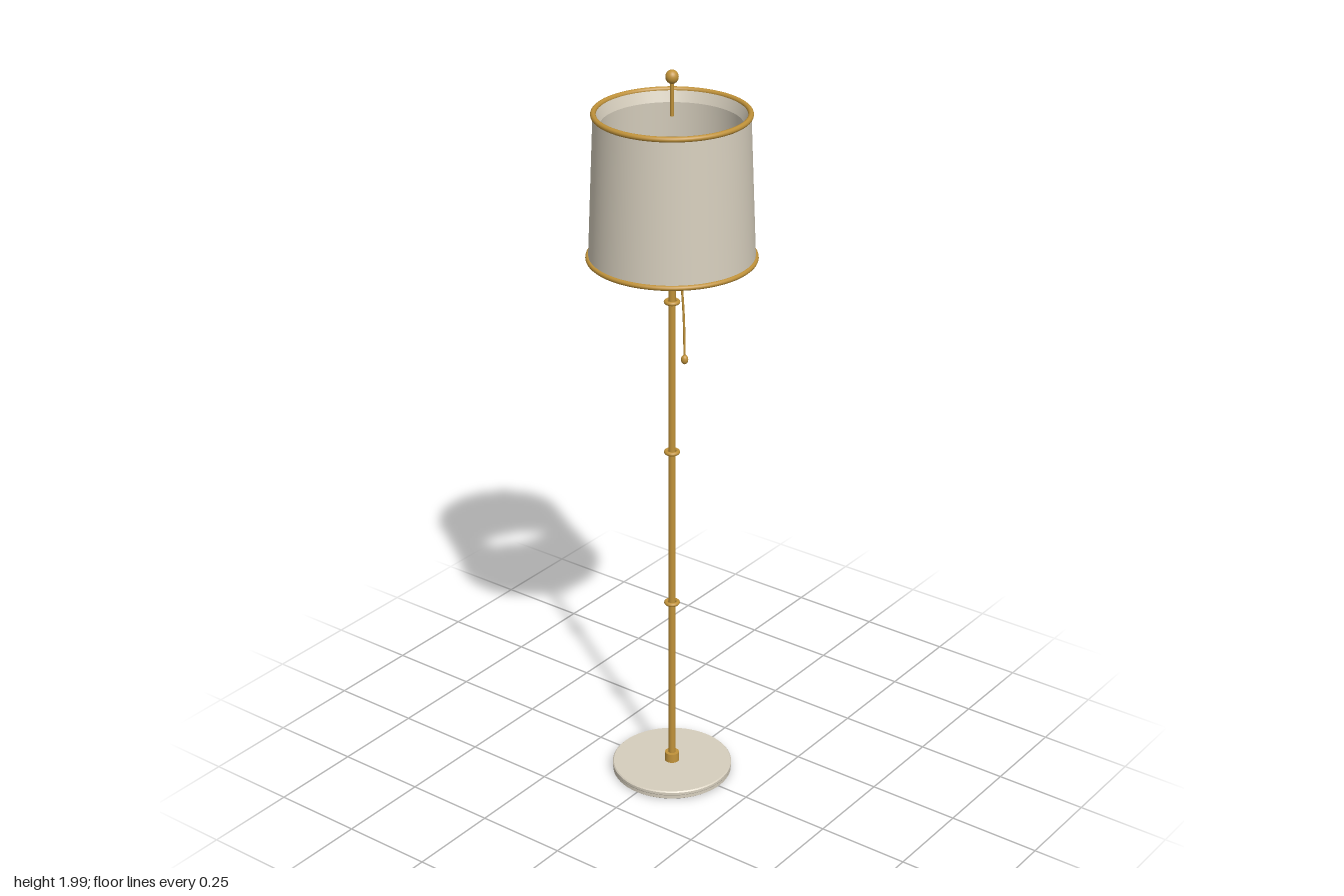
import * as THREE from 'three';

export function createModel() {
  const model = new THREE.Group();
  const brass = new THREE.MeshStandardMaterial({ color: 0xc0923a });
  brass.name = 'brass';
  const linen = new THREE.MeshStandardMaterial({ color: 0xd6cebd });
  linen.name = 'warm ivory';

  const add = (name, geometry, material, x = 0, y = 0, z = 0) => {
    const mesh = new THREE.Mesh(geometry, material);
    mesh.name = name;
    mesh.position.set(x, y, z);
    model.add(mesh);
    return mesh;
  };

  // Turned part from [radius, y] points; each segment is its own lathe so edges stay sharp
  const addTurned = (name, points, material, sides = 64) => {
    const group = new THREE.Group();
    group.name = name;
    for (let i = 0; i < points.length - 1; i++) {
      const pair = [points[i], points[i + 1]].map(([r, y]) => new THREE.Vector2(r, y));
      const mesh = new THREE.Mesh(new THREE.LatheGeometry(pair, sides), material);
      mesh.name = name + 'Face' + (i + 1);
      group.add(mesh);
    }
    model.add(group);
  };

  // Horizontal ring
  const addRing = (name, radius, tube, y) => {
    const ring = new THREE.TorusGeometry(radius, tube, 12, 64).rotateX(Math.PI / 2);
    return add(name, ring, brass, 0, y, 0);
  };

  // Round base with a small stepped edge
  addTurned('base', [
    [0, 0.005], [0.157, 0.005], [0.162, 0.009], [0.162, 0.018],
    [0.163, 0.02], [0.163, 0.027], [0.16, 0.03], [0, 0.03],
  ], linen);

  // Pole with its foot collar and three joint rings
  add('footCollar', new THREE.CylinderGeometry(0.019, 0.02, 0.026, 32), brass, 0, 0.042, 0);
  add('pole', new THREE.CylinderGeometry(0.0095, 0.0095, 1.56, 24), brass, 0, 0.81, 0);
  for (const y of [0.525, 0.972, 1.393]) addRing('jointRing', 0.0155, 0.0055, y);

  // Hollow drum shade: outer wall, top lip, inner lining, bottom lip
  addTurned('shade', [
    [0.21, 1.515], [0.194, 1.89], [0.187, 1.89], [0.177, 1.86],
    [0.191, 1.545], [0.203, 1.515], [0.21, 1.515],
  ], linen);
  addRing('shadeTopTrim', 0.193, 0.007, 1.889);
  addRing('shadeBottomTrim', 0.2105, 0.0065, 1.516);

  // Finial on its slim rod
  add('finialRod', new THREE.CylinderGeometry(0.0045, 0.0045, 0.09, 16), brass, 0, 1.928, 0);
  const finial = add('finial', new THREE.SphereGeometry(0.0165, 24, 16), brass, 0, 1.9825, 0);
  finial.scale.y = 1.06;

  // Pull cord and its bead
  const path = new THREE.CatmullRomCurve3([
    [0.02, 1.535, 0], [0.028, 1.49, 0.002], [0.036, 1.4, 0.006],
    [0.037, 1.33, 0.01], [0.035, 1.235, 0.014],
  ].map((p) => new THREE.Vector3(...p)));
  add('pullCord', new THREE.TubeGeometry(path, 32, 0.003, 8), brass);
  const bead = add('pullBead', new THREE.SphereGeometry(0.0095, 16, 12), brass, 0.035, 1.225, 0.014);
  bead.scale.y = 1.35;

  return model;
}
